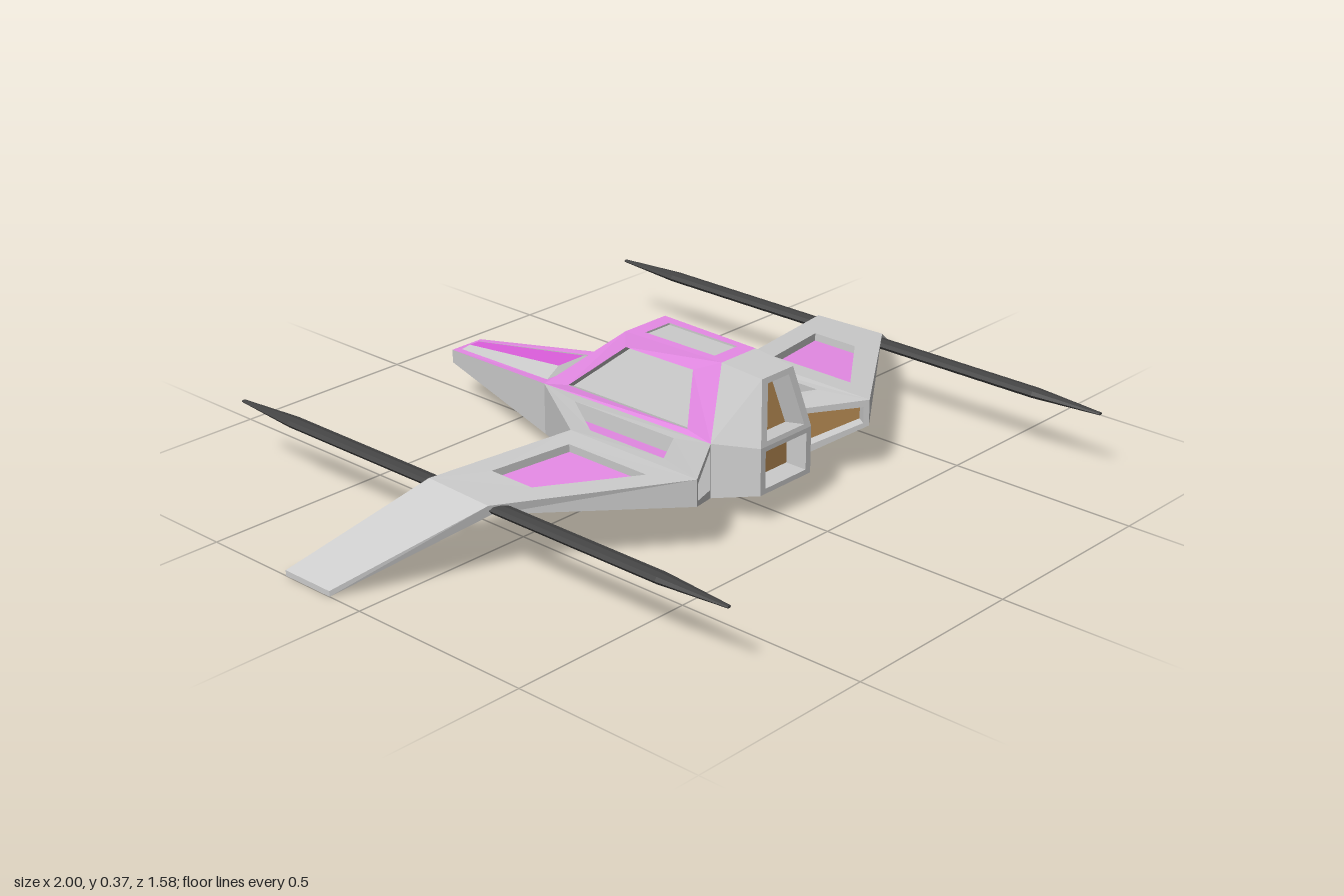
import * as THREE from 'three';

const GREY = 0xcccccc, PINK = 0xe68ae6, MAGENTA = 0xe060e0, BROWN = 0xb08550, DARK = 0x444444;
const V = (x, y, z) => new THREE.Vector3(x, y, z);
const mean = pts => pts.reduce((a, p) => a.add(p), V(0, 0, 0)).divideScalar(pts.length);

// Newell normal of a polygon
function normalOf(pts) {
  const n = V(0, 0, 0);
  pts.forEach((p, i) => n.add(p.clone().cross(pts[(i + 1) % pts.length])));
  return n.normalize();
}

// Collects flat polygons by part name, then turns each part into one mesh
class Builder {
  constructor() { this.parts = new Map(); }

  // Polygon that faces away from the point "inside"
  face(name, color, pts, inside) {
    if (!this.parts.has(name)) this.parts.set(name, { color, pos: [] });
    const out = mean(pts).sub(inside);
    const p = normalOf(pts).dot(out) < 0 ? [...pts].reverse() : pts;
    const pos = this.parts.get(name).pos;
    for (let i = 1; i < p.length - 1; i++)
      for (const q of [p[0], p[i], p[i + 1]]) pos.push(q.x, q.y, q.z);
  }

  // Framed face with a sunken panel
  inset(frame, frameColor, panel, panelColor, outer, inner, inside, depth) {
    const c = mean(outer), n = normalOf(outer);
    if (n.dot(c.clone().sub(inside)) < 0) n.negate();
    const rim = inner.map(p => p.clone().addScaledVector(n, n.dot(c.clone().sub(p))));
    const floor = rim.map(p => p.clone().addScaledVector(n, -depth));
    const hole = mean([...rim, ...floor]);
    outer.forEach((p, i) => {
      const j = (i + 1) % outer.length;
      this.face(frame, frameColor, [p, outer[j], rim[j], rim[i]], inside);
      const wall = [rim[i], rim[j], floor[j], floor[i]];
      this.face(frame + 'Recess', GREY, wall, mean(wall).multiplyScalar(2).sub(hole));
    });
    this.face(panel, panelColor, floor, inside);
  }

  group() {
    const g = new THREE.Group();
    for (const [name, { color, pos }] of this.parts) {
      const geo = new THREE.BufferGeometry();
      geo.setAttribute('position', new THREE.Float32BufferAttribute(pos, 3));
      geo.computeVertexNormals();
      const mesh = new THREE.Mesh(geo, new THREE.MeshStandardMaterial({ color, flatShading: true }));
      mesh.name = name;
      g.add(mesh);
    }
    return g;
  }
}

// Trapezoid symmetric in x from two half-widths
const trap = (x0, y0, z0, x1, y1, z1) => [V(x0, y0, z0), V(-x0, y0, z0), V(-x1, y1, z1), V(x1, y1, z1)];

function buildFuselage(b) {
  const mid = V(0, 0.17, 0), noseMid = V(0, 0.12, -0.45);

  // Underside and nose tip
  b.face('belly', GREY, trap(0.13, 0.05, 0.25, 0.13, 0.05, -0.3), mid);
  b.face('belly', GREY, trap(0.13, 0.05, 0.25, 0.09, 0.08, 0.37), mid);
  b.face('nose', GREY, trap(0.13, 0.05, -0.3, 0.05, 0.1, -0.72), noseMid);
  b.face('nose', GREY, trap(0.05, 0.1, -0.72, 0.05, 0.135, -0.72), noseMid);

  // Nose deck with a raised wedge
  const deck = trap(0.13, 0.185, -0.3, 0.05, 0.135, -0.72);
  const base = trap(0.1, 0.181, -0.32, 0.035, 0.138, -0.7);
  const ridge = trap(0.045, 0.197, -0.335, 0.015, 0.147, -0.69);
  for (let i = 0; i < 4; i++) {
    const j = (i + 1) % 4;
    b.face('noseDeck', PINK, [deck[i], deck[j], base[j], base[i]], noseMid);
    b.face('noseWedgeSides', GREY, [base[i], base[j], ridge[j], ridge[i]], noseMid);
  }
  b.face('noseWedgeTop', MAGENTA, ridge, noseMid);

  // Windscreen, roof and the two rear exhausts
  b.inset('windscreenFrame', PINK, 'windscreen', GREY, trap(0.13, 0.185, -0.3, 0.07, 0.365, -0.08),
    trap(0.095, 0.2, -0.28, 0.055, 0.335, -0.12), mid, 0.02);
  b.inset('roofFrame', PINK, 'roofPanel', GREY, trap(0.07, 0.365, -0.08, 0.06, 0.365, 0.22),
    trap(0.042, 0.365, -0.04, 0.04, 0.365, 0.18), mid, 0.005);
  b.face('rearCowl', GREY, trap(0.06, 0.365, 0.22, 0.055, 0.355, 0.34), mid);
  b.inset('upperExhaustFrame', GREY, 'upperExhaust', BROWN, trap(0.09, 0.2, 0.37, 0.055, 0.355, 0.34),
    trap(0.067, 0.212, 0.37, 0.037, 0.34, 0.34), mid, 0.06);
  b.inset('lowerExhaustFrame', GREY, 'lowerExhaust', BROWN, trap(0.09, 0.08, 0.37, 0.09, 0.2, 0.37),
    trap(0.073, 0.093, 0.37, 0.073, 0.188, 0.37), mid, 0.06);

  for (const s of [1, -1]) {
    const P = (x, y, z) => V(s * x, y, z);
    // Flanks
    b.face('nose', GREY, [P(0.13, 0.05, -0.3), P(0.05, 0.1, -0.72), P(0.05, 0.135, -0.72), P(0.13, 0.185, -0.3)], noseMid);
    b.face('rearFlanks', GREY, [P(0.13, 0.05, 0.25), P(0.13, 0.19, 0.25), P(0.09, 0.2, 0.37), P(0.09, 0.08, 0.37)], mid);
    b.face('rearCowl', GREY, [P(0.13, 0.19, 0.25), P(0.09, 0.2, 0.37), P(0.055, 0.355, 0.34), P(0.06, 0.365, 0.22)], mid);
    // Side windows
    b.inset('sideWindowFrames', PINK, 'sideWindows', GREY,
      [P(0.13, 0.185, -0.3), P(0.07, 0.365, -0.08), P(0.06, 0.365, 0.22), P(0.13, 0.19, 0.25)],
      [P(0.125, 0.202, -0.22), P(0.08, 0.33, -0.07), P(0.075, 0.33, 0.145), P(0.125, 0.202, 0.17)], mid, 0.02);
  }
}

function buildWing(b, s) {
  const P = (x, y, z) => V(s * x, y, z);
  // Stations from root to tip: leading top, leading bottom, trailing top, trailing bottom
  const stations = [
    [P(0.13, 0.185, -0.3), P(0.13, 0.05, -0.3), P(0.13, 0.19, 0.25), P(0.13, 0.05, 0.25)],
    [P(0.31, 0.2, -0.03), P(0.31, 0.14, -0.03), P(0.31, 0.198, 0.37), P(0.31, 0.13, 0.37)],
    [P(0.69, 0.182, -0.105), P(0.68, 0.157, -0.105), P(0.7, 0.182, 0.1), P(0.69, 0.157, 0.1)],
    [P(1, 0.014, -0.25), P(1, 0, -0.25), P(1, 0.014, -0.1), P(1, 0, -0.1)],
  ];
  const names = ['innerWing', 'outerWing', 'wingTip'];
  // Sunken panels on the top of the inner and outer wing
  const panels = [
    [P(0.165, 0.19, -0.16), P(0.275, 0.19, 0), P(0.275, 0.19, 0.235), P(0.165, 0.19, 0.165)],
    [P(0.365, 0.19, 0.02), P(0.575, 0.19, -0.02), P(0.575, 0.19, 0.11), P(0.365, 0.19, 0.265)],
  ];
  names.forEach((name, i) => {
    const [a, c] = [stations[i], stations[i + 1]];
    const mid = mean([...a, ...c]);
    const top = [a[0], c[0], c[2], a[2]];
    if (panels[i]) b.inset(name, GREY, name + 'Panel', PINK, top, panels[i], mid, i ? 0.02 : 0.04);
    else b.face(name, GREY, top, mid);
    b.face(name, GREY, [a[1], c[1], c[3], a[3]], mid);
    b.face(name, GREY, [a[0], c[0], c[1], a[1]], mid);
    const rear = [a[2], c[2], c[3], a[3]];
    // Intake in the trailing face of the inner wing
    if (i === 0) b.inset('wingIntakeFrame', GREY, 'wingIntake', BROWN, rear,
      [P(0.138, 0.177, 0.255), P(0.298, 0.18, 0.362), P(0.298, 0.138, 0.362), P(0.138, 0.075, 0.255)], mid, 0.03);
    else b.face(name, GREY, rear, mid);
  });
  b.face('wingTip', GREY, [0, 1, 3, 2].map(k => stations[3][k]), mean([...stations[2], ...stations[3]]));
}

// Long rod pointed at both ends
function buildRod(s) {
  const profile = [[0, -0.79], [0.006, -0.79], [0.022, -0.6], [0.022, 0.6], [0.006, 0.79], [0, 0.79]];
  const geo = new THREE.LatheGeometry(profile.map(p => new THREE.Vector2(...p)), 8);
  geo.rotateX(Math.PI / 2).scale(1, 0.55, 1);
  const rod = new THREE.Mesh(geo, new THREE.MeshStandardMaterial({ color: DARK, flatShading: true }));
  rod.name = s > 0 ? 'leftRod' : 'rightRod';
  rod.position.set(s * 0.675, 0.168, 0);
  return rod;
}

export function createModel() {
  const model = new THREE.Group();
  model.name = 'spacecraft';

  const body = new Builder();
  buildFuselage(body);
  const fuselage = body.group();
  fuselage.name = 'fuselage';
  model.add(fuselage);

  for (const s of [1, -1]) {
    const b = new Builder();
    buildWing(b, s);
    const wing = b.group();
    wing.name = s > 0 ? 'leftWing' : 'rightWing';
    model.add(wing, buildRod(s));
  }
  return model;
}
